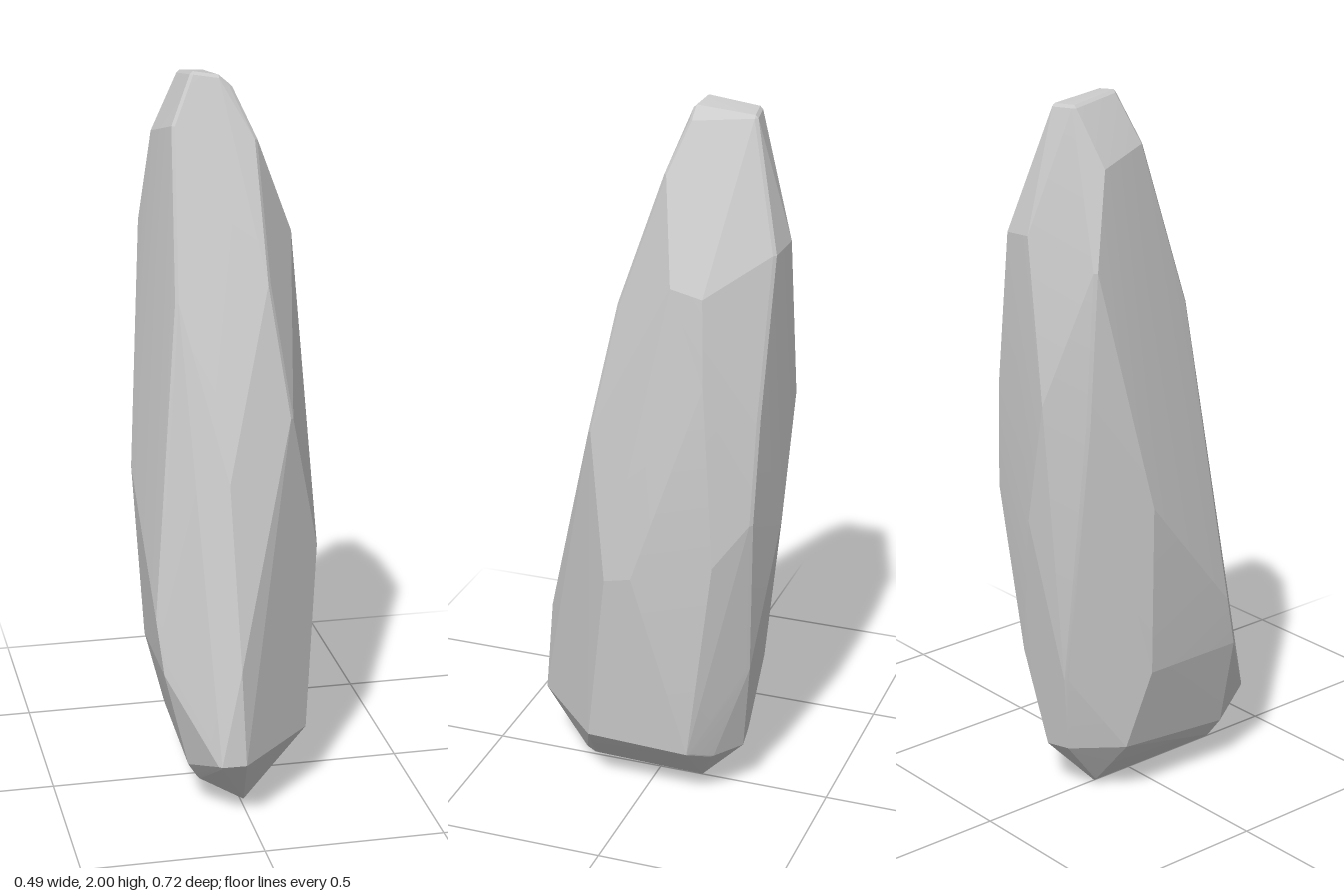
import * as THREE from 'three';
import { ConvexGeometry } from 'three/addons/geometries/ConvexGeometry.js';
import { toCreasedNormals } from 'three/addons/utils/BufferGeometryUtils.js';

// Corners of the tall stone, in bands from top to bottom: [x, y, z]
const crown = [
  [-0.07, 2.0, -0.11], [0.0, 1.99, -0.1], [-0.01, 1.975, -0.26], [-0.08, 1.98, -0.25],
  [0.03, 1.965, -0.1], [-0.13, 1.87, -0.07], [0.09, 1.83, -0.05], [-0.16, 1.83, -0.22],
];
const shoulder = [
  [0.2, 1.56, -0.1], [0.2, 1.54, -0.19], [0.08, 1.64, -0.345], [-0.02, 1.65, -0.355],
  [-0.19, 1.57, -0.27], [-0.15, 1.42, 0.07], [0.1, 1.46, 0.08],
];
const middle = [
  [0.15, 1.1, 0.15], [0.22, 1.3, -0.2], [0.15, 1.2, -0.33], [-0.08, 1.2, -0.36],
  [-0.18, 1.15, -0.29], [-0.245, 0.9, -0.12], [-0.04, 0.95, 0.23], [0.17, 0.9, -0.32],
  [0.0, 0.85, -0.35], [0.22, 0.78, -0.23], [0.24, 0.7, 0.08], [0.245, 0.72, 0.0],
];
const flank = [
  [-0.03, 0.45, 0.342], [-0.215, 0.4, 0.21], [-0.23, 0.55, 0.17], [-0.215, 0.4, -0.1],
  [0.1, 0.42, -0.295], [-0.07, 0.38, -0.285],
];
const base = [
  [-0.02, 0.18, 0.36], [-0.09, 0.18, 0.358], [0.195, 0.18, 0.15], [0.195, 0.17, -0.15],
  [0.13, 0.14, -0.2], [0.04, 0.14, -0.26], [-0.04, 0.15, -0.25], [-0.15, 0.16, -0.14],
  [-0.15, 0.13, 0.22], [-0.12, 0.08, 0.2], [0.0, 0.02, 0.23], [0.02, 0.02, 0.2],
  [0.0, 0.0, -0.13], [-0.02, 0.015, -0.14],
];

// Each corner becomes a tiny octahedron, so the hull gets narrow chamfers
const BEVEL = 0.008;
function chamferCorners(corners) {
  const points = [];
  for (const [x, y, z] of corners) {
    const c = new THREE.Vector3(x, y, z);
    // pull inwards first so that the overall size is kept
    c.x *= 1 - BEVEL / 0.245;
    c.y = 1 + (c.y - 1) * (1 - BEVEL);
    c.z *= 1 - BEVEL / 0.36;
    for (const s of [-BEVEL, BEVEL]) {
      points.push(
        c.clone().add(new THREE.Vector3(s, 0, 0)),
        c.clone().add(new THREE.Vector3(0, s, 0)),
        c.clone().add(new THREE.Vector3(0, 0, s)),
      );
    }
  }
  return points;
}

export function createModel() {
  const group = new THREE.Group();
  group.name = 'standingStone';

  // Faceted stone: crisp planes, softened only across shallow folds
  const points = chamferCorners([...crown, ...shoulder, ...middle, ...flank, ...base]);
  const geometry = toCreasedNormals(new ConvexGeometry(points), 0.12);
  const stone = new THREE.Mesh(geometry, new THREE.MeshStandardMaterial({ color: 0xcccccc }));
  stone.name = 'stone';
  group.add(stone);
  return group;
}
